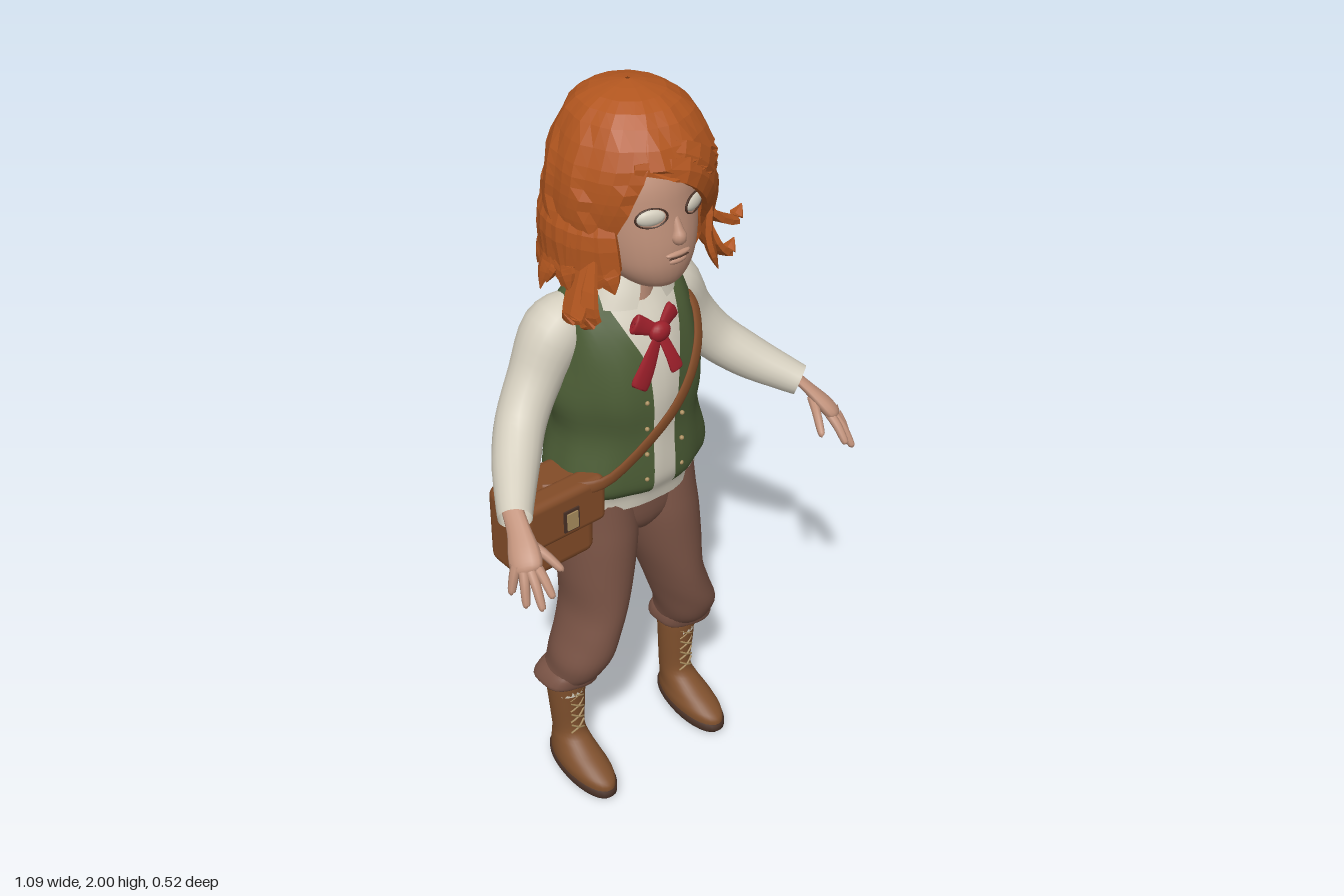
import * as THREE from 'three';
import { RoundedBoxGeometry } from 'three/addons/geometries/RoundedBoxGeometry.js';

const mat = (name, color, open) => {
  const m = new THREE.MeshStandardMaterial({ color });
  m.name = name;
  if (open) m.side = THREE.DoubleSide;
  return m;
};
const M = {
  hair: mat('ginger hair', 0xb2561f, true), skin: mat('skin', 0xc0917a),
  vest: mat('green cloth', 0x4b5c35, true), shirt: mat('cream cloth', 0xd3cdbd, true),
  pants: mat('brown cloth', 0x785244, true), leather: mat('bag leather', 0x834c28),
  boot: mat('boot leather', 0x7f502d), dark: mat('dark brown', 0x493126),
  red: mat('red cloth', 0x9c1f2a), brass: mat('brass', 0xa98d5e),
};

// Catmull-Rom through rows of numbers
function smooth(rows, steps) {
  const out = [], n = rows.length;
  for (let i = 0; i < n - 1; i++) {
    const [a, b, c, d] = [-1, 0, 1, 2].map(k => rows[Math.min(n - 1, Math.max(0, i + k))]);
    for (let s = 0; s < steps; s++) {
      const t = s / steps;
      out.push(b.map((v, k) => v + 0.5 * t * (c[k] - a[k] + t * (2 * a[k] - 5 * v + 4 * c[k] - d[k]
        + t * (3 * (v - c[k]) + d[k] - a[k])))));
    }
  }
  out.push(rows[n - 1]);
  return out;
}

// Skin a list of rings
function skinRings(rings, closed) {
  const w = rings[0].length, idx = [];
  for (let i = 0; i < rings.length - 1; i++)
    for (let j = 0; j < (closed ? w : w - 1); j++) {
      const k = (j + 1) % w, a = i * w + j, b = i * w + k;
      idx.push(a, b, a + w, b, b + w, a + w);
    }
  const g = new THREE.BufferGeometry();
  g.setAttribute('position', new THREE.Float32BufferAttribute(rings.flat(2), 3));
  g.setIndex(idx);
  g.computeVertexNormals();
  return g;
}

// Stacked horizontal ovals, bottom to top: [y, cx, cz, rx, rz, gapMinX, gapMaxX]
function body(rows, { seg = 32, fold = () => 0, steps = 4 } = {}) {
  const open = rows[0].length > 5;
  const rings = smooth(rows, steps).map(([y, cx, cz, rx, rz, g0 = 0, g1 = 0]) => {
    const ang = g => Math.asin(Math.max(-1, Math.min(1, g / rx)));
    const a0 = open ? ang(g1) : 0, a1 = Math.PI * 2 + (open ? ang(g0) : 0), ring = [];
    for (let j = 0; j < (open ? seg + 1 : seg); j++) {
      const a = a0 + (a1 - a0) * j / seg, f = 1 + fold(a, y);
      ring.push([cx + rx * f * Math.sin(a), y, cz + rz * f * Math.cos(a)]);
    }
    return ring;
  });
  return skinRings(rings, !open);
}

// Tapered tube along rows [x, y, z, radius]; flat squashes it along ref
function limb(rows, { seg = 12, flat = 1, ref = [0, 0, 1], steps = 4 } = {}) {
  const pts = smooth(rows, steps), up = new THREE.Vector3(...ref);
  const P = i => new THREE.Vector3(...pts[Math.max(0, Math.min(pts.length - 1, i))].slice(0, 3));
  return skinRings(pts.map((p, i) => {
    const t = P(i + 1).sub(P(i - 1)).normalize();
    const side = t.clone().cross(up).normalize(), n = side.clone().cross(t), ring = [];
    for (let j = 0; j < seg; j++) {
      const a = j / seg * Math.PI * 2;
      ring.push(P(i).addScaledVector(side, p[3] * Math.sin(a)).addScaledVector(n, p[3] * flat * Math.cos(a)).toArray());
    }
    return ring;
  }), true);
}

const facet = g => { const f = g.toNonIndexed(); f.computeVertexNormals(); return f; };
let seed = 7;
const rnd = () => (seed = (seed * 16807) % 2147483647) / 2147483647;

export function createModel() {
  const root = new THREE.Group();
  const add = (name, geo, m, pos = [0, 0, 0], scale = [1, 1, 1]) => {
    const mesh = new THREE.Mesh(geo, m);
    mesh.name = name;
    mesh.position.set(...pos);
    mesh.scale.set(...scale);
    root.add(mesh);
    return mesh;
  };
  const ball = (name, m, pos, scale) => add(name, new THREE.SphereGeometry(1, 16, 12), m, pos, scale);

  // Head and face
  add('head', body([[1.54, 0, 0.06, 0.01, 0.015], [1.555, 0, 0.055, 0.06, 0.065], [1.6, 0, 0.03, 0.106, 0.112],
    [1.66, 0, 0.005, 0.13, 0.142], [1.74, 0, -0.005, 0.14, 0.143], [1.82, 0, -0.02, 0.138, 0.147],
    [1.9, 0, -0.03, 0.1, 0.11], [1.93, 0, -0.03, 0.01, 0.01]]), M.skin);
  add('neck', new THREE.CylinderGeometry(0.058, 0.068, 0.2, 20), M.skin, [0, 1.52, -0.04]);
  add('nose', limb([[0, 1.735, 0.13, 0.008], [0, 1.705, 0.141, 0.013], [0, 1.688, 0.145, 0.019], [0, 1.676, 0.14, 0.014], [0, 1.67, 0.135, 0.001]]), M.skin);
  ball('upperLip', M.skin, [0, 1.646, 0.142], [0.036, 0.008, 0.012]);
  ball('lowerLip', M.skin, [0, 1.628, 0.137], [0.03, 0.01, 0.014]);
  ball('mouthLine', M.dark, [0, 1.638, 0.147], [0.03, 0.0018, 0.005]);
  for (const s of [-1, 1]) {
    const turn = s * 0.36;
    ball('eye', M.shirt, [s * 0.063, 1.745, 0.12], [0.036, 0.02, 0.012]).rotation.y = turn;
    add('eyeRim', new THREE.TorusGeometry(0.038, 0.0028, 6, 28), M.dark, [s * 0.063, 1.745, 0.124], [1, 0.62, 1]).rotation.y = turn;
    ball('ear', M.skin, [s * 0.142, 1.7, -0.01], [0.015, 0.035, 0.025]);
  }

  // Hair: clumped cap with a side-swept face opening, fringe and flicked locks
  const clump = (a, y) => {
    const u = a * 1.75 + 1.5 * Math.sin(4 * y);
    return 0.05 * (u - Math.floor(u)) - 0.025;
  };
  add('hairCap', facet(body([[1.56, 0.01, -0.06, 0.172, 0.158, -0.15, 0.145], [1.62, 0.01, -0.06, 0.19, 0.175, -0.15, 0.145],
    [1.7, 0.01, -0.055, 0.203, 0.185, -0.14, 0.125], [1.76, 0.012, -0.045, 0.205, 0.19, -0.125, 0.085],
    [1.81, 0.014, -0.04, 0.2, 0.192, -0.11, 0.02], [1.86, 0.014, -0.038, 0.185, 0.188, -0.09, -0.085],
    [1.94, 0.012, -0.042, 0.14, 0.148, -0.06, -0.06], [1.982, 0.01, -0.045, 0.085, 0.09, -0.03, -0.03],
    [2, 0.01, -0.045, 0.005, 0.005, 0, 0]], { seg: 34, steps: 2, fold: clump })), M.hair);
  const lock = (name, rows, ref, flat = 0.3) => add(name, facet(limb(rows, { seg: 6, flat, ref, steps: 3 })), M.hair);
  for (let i = 0; i < 2; i++) {
    const d = i * 0.035;
    lock('fringe', [[-0.1, 1.868 + d, 0.11 - d, 0.012], [0.02, 1.845 + d, 0.147 - d * 0.4, 0.034],
      [0.11, 1.775 + d, 0.118, 0.042], [0.166, 1.68 + d, 0.062 - d, 0.042], [0.18, 1.57 + d, 0.03 - d, 0.003]], [0.35, 0.1, 1]);
  }
  const curls = 24;
  for (let i = 0; i < curls; i++) {
    const a = 0.95 + (Math.PI * 2 - 1.9) * i / (curls - 1), sx = Math.sin(a), cz = Math.cos(a);
    const flick = 0.95 + 0.22 * rnd() + (sx > 0.3 ? 0.2 * rnd() : 0), tip = 1.49 + 0.09 * rnd(), sway = 0.1 * (rnd() - 0.5);
    const at = (k, y, r, w = 0) => [0.01 + 0.2 * k * sx + w * cz, y, -0.055 + 0.18 * k * cz - w * sx, r];
    lock('lock', [at(0.82, 1.8, 0.01), at(0.99, 1.7, 0.046), at(0.99, 1.61, 0.046, sway * 0.3),
      at((flick + 1) / 2, tip + 0.035, 0.036, sway * 0.6), at(flick, tip, 0.002, sway)], [sx, 0, cz]);
  }
  for (const [s, x, y, z] of [[1, 0.31, 1.62, 0.02], [1, 0.285, 1.725, -0.06], [1, 0.27, 1.55, 0.04],
    [-1, -0.245, 1.53, 0.03], [-1, -0.21, 1.52, 0.06], [1, 0.26, 1.64, -0.17]])
    lock('sideFlick', [[s * 0.165, y + 0.12, z * 0.6, 0.02], [s * 0.195, y + 0.02, z * 0.8, 0.045],
      [x * 0.9, y - 0.03, z, 0.035], [x, y, z, 0.002]], [s, 0.3, 0]);

  // Waistcoat with open front, shirt beneath it
  const trunk = [[0.965, 0, -0.05, 0.2, 0.145, -0.04, 0.03], [0.99, 0, -0.052, 0.224, 0.163, -0.04, 0.03],
    [1.04, 0, -0.055, 0.222, 0.169, -0.04, 0.03], [1.14, 0, -0.055, 0.196, 0.166, -0.04, 0.03],
    [1.24, 0, -0.057, 0.212, 0.174, -0.042, 0.034], [1.34, 0, -0.062, 0.2, 0.166, -0.05, 0.046],
    [1.42, 0, -0.066, 0.184, 0.14, -0.08, 0.08], [1.48, 0, -0.07, 0.168, 0.1, -0.1, 0.1], [1.505, 0, -0.07, 0.14, 0.08, -0.1, 0.1]];
  const creases = (a, y) => 0.014 * Math.sin(6 * a + 14 * y) + 0.01 * Math.sin(11 * a - 9 * y);
  add('waistcoat', body(trunk, { seg: 48, fold: creases }), M.vest);
  add('shirt', body([[0.915, 0, -0.055, 0.213, 0.132], [0.95, 0, -0.053, 0.206, 0.137],
    ...trunk.slice(1).map(([y, cx, cz, rx, rz]) => [y, cx, cz, rx - 0.014, rz - 0.012]),
    [1.525, 0, -0.06, 0.07, 0.06]], { seg: 48, fold: creases }), M.shirt);
  add('collar', body([[1.475, 0, -0.04, 0.125, 0.1, -0.045, 0.045], [1.51, 0, -0.04, 0.105, 0.09, -0.03, 0.03],
    [1.55, 0, -0.04, 0.08, 0.075, -0.02, 0.02]]), M.shirt);
  for (let i = 0; i < 4; i++)
    for (const x of [-0.06, 0.052]) ball('button', M.brass, [x, 1.02 + i * 0.075, 0.108], [0.006, 0.006, 0.006]);

  // Neck scarf
  ball('scarfKnot', M.red, [0, 1.41, 0.082], [0.03, 0.026, 0.02]);
  for (const [x, y, z, r, flat] of [[-0.085, 1.3, 0.108, 0.03, 0.25], [0.03, 1.31, 0.112, 0.018, 0.3],
    [-0.062, 1.445, 0.062, 0.024, 0.4], [0.058, 1.445, 0.062, 0.024, 0.4]])
    add('scarfTail', limb([[0, 1.41, 0.082, 0.012], [x * 0.6, 1.41 + (y - 1.41) * 0.6, 0.082 + (z - 0.082) * 0.7, r * 0.9], [x, y, z, r], [x, y, z + 0.001, 0.001]], { flat }), M.red);

  // Trouser seat
  add('trouserSeat', body([[0.775, 0, -0.055, 0.01, 0.05], [0.8, 0, -0.055, 0.06, 0.088], [0.85, 0, -0.056, 0.185, 0.112],
    [0.94, 0, -0.055, 0.196, 0.115]]), M.pants);

  for (const s of [-1, 1]) {
    // Sleeve and hand
    const path = rows => rows.map(([x, ...r]) => [s * x, ...r]);
    add('sleeve', limb(path([[0.12, 1.44, -0.085, 0.06], [0.178, 1.4, -0.095, 0.081], [0.242, 1.3, -0.092, 0.068],
      [0.308, 1.212, -0.066, 0.063], [0.372, 1.153, -0.004, 0.058], [0.432, 1.112, 0.07, 0.047], [0.46, 1.095, 0.108, 0.041]]), { seg: 20 }), M.shirt);
    add('palm', limb(path([[0.45, 1.11, 0.08, 0.026], [0.468, 1.08, 0.13, 0.029], [0.487, 1.045, 0.175, 0.04], [0.498, 1.02, 0.2, 0.036], [0.502, 1.01, 0.21, 0.004]]),
      { flat: 0.5, ref: [s * 0.5, 0.7, 0.2] }), M.skin);
    for (const [bx, by, bz, x, y, z] of [[0.465, 1.06, 0.15, 0.425, 1.005, 0.23], [0.478, 1.03, 0.205, 0.478, 0.975, 0.266],
      [0.494, 1.02, 0.21, 0.506, 0.952, 0.264], [0.508, 1.02, 0.2, 0.526, 0.95, 0.23], [0.514, 1.03, 0.18, 0.534, 0.965, 0.185]])
      add('finger', limb(path([[bx, by, bz, 0.013], [(bx + x) / 2, (by + y) / 2 + 0.006, (bz + z) / 2, 0.012], [x, y, z, 0.009], [x, y - 0.004, z + 0.004, 0.001]]), { seg: 8 }), M.skin);

    // Trouser leg with rolled cuff
    add('trouserLeg', body([[0.365, s * 0.198, -0.05, 0.078, 0.076], [0.4, s * 0.19, -0.032, 0.078, 0.088], [0.45, s * 0.18, -0.022, 0.081, 0.1],
      [0.52, s * 0.155, -0.02, 0.079, 0.104], [0.6, s * 0.13, -0.027, 0.079, 0.112], [0.7, s * 0.115, -0.036, 0.095, 0.117],
      [0.8, s * 0.104, -0.046, 0.103, 0.122], [0.87, s * 0.1, -0.053, 0.101, 0.12], [0.94, s * 0.1, -0.055, 0.096, 0.112]],
    { fold: (a, y) => 0.03 * Math.sin(3 * a + 40 * y) * Math.max(0, 1 - (y - 0.36) / 0.2) }), M.pants);
    add('trouserCuff', body([[0.37, s * 0.2, -0.05, 0.06, 0.06], [0.35, s * 0.2, -0.054, 0.08, 0.076], [0.36, s * 0.203, -0.054, 0.092, 0.083],
      [0.385, s * 0.198, -0.046, 0.084, 0.082], [0.4, s * 0.193, -0.036, 0.07, 0.075]], { steps: 3, fold: a => 0.04 * Math.sin(5 * a) }), M.pants);
    add('sock', new THREE.CylinderGeometry(0.052, 0.05, 0.1, 20), M.shirt, [s * 0.2, 0.335, -0.065]);

    // Boot and sole, pitched so the heel sits higher than the toe
    const pitch = g => {
      const p = g.attributes.position;
      for (let i = 0; i < p.count; i++)
        p.setY(i, p.getY(i) + Math.max(0, 0.11 - p.getZ(i)) * 0.15 * Math.max(0, 1 - p.getY(i) / 0.16));
      g.computeVertexNormals();
      return g;
    };
    add('boot', pitch(body([[0.025, s * 0.2, 0, 0.056, 0.126], [0.05, s * 0.2, -0.002, 0.057, 0.122], [0.075, s * 0.2, -0.022, 0.052, 0.1],
      [0.105, s * 0.198, -0.05, 0.046, 0.07], [0.145, s * 0.196, -0.068, 0.043, 0.05], [0.24, s * 0.198, -0.069, 0.05, 0.051],
      [0.315, s * 0.2, -0.069, 0.054, 0.055], [0.325, s * 0.2, -0.069, 0.05, 0.051]])), M.boot);
    add('sole', pitch(body([[0, s * 0.2, 0, 0.002, 0.01], [0.001, s * 0.2, 0, 0.055, 0.122], [0.012, s * 0.2, 0, 0.06, 0.131],
      [0.03, s * 0.2, 0, 0.06, 0.131], [0.034, s * 0.2, 0, 0.05, 0.12]], { steps: 1 })), M.dark);
    for (let i = 0; i < 4; i++)
      for (const d of [-1, 1]) {
        const y = 0.15 + i * 0.04;
        add('lace', limb([[s * 0.198 - d * 0.022, y, -0.023, 0.003], [s * 0.198, y + 0.015, -0.016, 0.003], [s * 0.198 + d * 0.022, y + 0.03, -0.023, 0.003]],
          { seg: 5, steps: 2 }), M.brass);
      }
  }

  // Satchel with front flap, buckle and shoulder strap
  add('satchel', new RoundedBoxGeometry(0.23, 0.23, 0.15, 3, 0.03), M.leather, [-0.288, 0.935, -0.025]);
  add('satchelFlap', new RoundedBoxGeometry(0.25, 0.135, 0.07, 3, 0.02), M.leather, [-0.28, 0.99, 0.036]);
  add('buckleBase', new THREE.BoxGeometry(0.046, 0.062, 0.008), M.dark, [-0.27, 0.978, 0.072]);
  add('buckle', new THREE.BoxGeometry(0.032, 0.048, 0.009), M.brass, [-0.27, 0.978, 0.076]);
  add('strap', limb([[-0.3, 1.04, 0.0, 0.016], [-0.235, 1.04, 0.05, 0.018], [-0.15, 1.055, 0.085, 0.018], [-0.02, 1.165, 0.116, 0.018],
    [0.06, 1.25, 0.114, 0.018], [0.12, 1.33, 0.084, 0.018], [0.16, 1.39, 0.03, 0.017], [0.165, 1.42, -0.01, 0.014]],
  { flat: 0.35, ref: [0.25, 0.1, 1] }), M.leather);

  return root;
}
